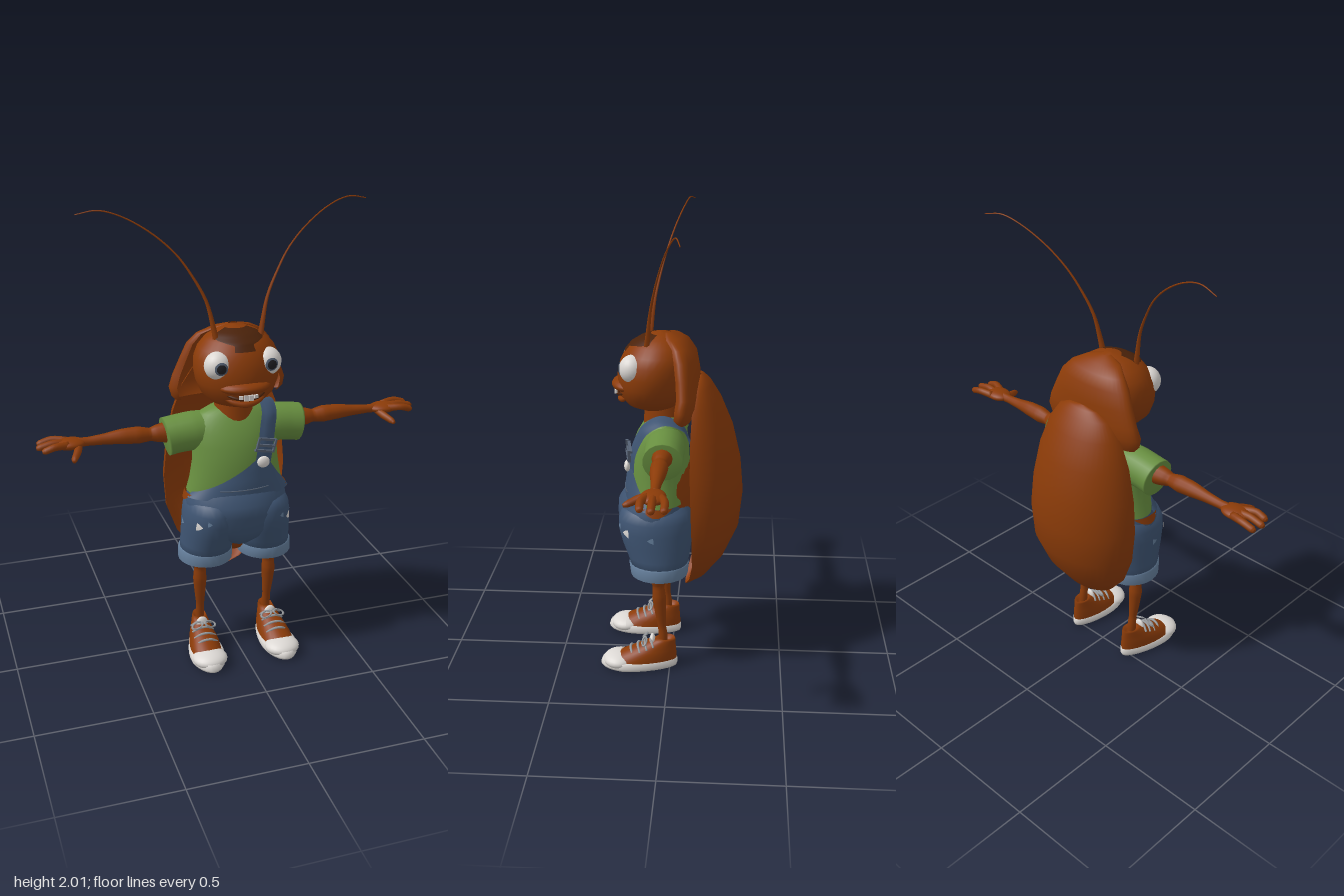
import * as THREE from 'three';

const mat = (name, color, side = THREE.DoubleSide) => {
  const m = new THREE.MeshStandardMaterial({ color, side });
  m.name = name;
  return m;
};
const brown = mat('chestnut', 0x8b3b08);
const darkBrown = mat('dark brown', 0x4a220a);
const green = mat('shirt green', 0x688f40);
const denim = mat('denim', 0x3e5472);
const paleDenim = mat('pale denim', 0x657f9c);
const white = mat('off white', 0xdcd8d4);
const grey = mat('lace grey', 0x999c9f);
const slate = mat('slate', 0x566274);
const black = mat('near black', 0x202024);

// Surface from a rule fn(u, v); wrap closes it in u
function grid(nu, nv, fn, wrap = false) {
  const pos = [], idx = [], cols = wrap ? nu : nu + 1;
  for (let j = 0; j <= nv; j++)
    for (let i = 0; i < cols; i++) pos.push(...fn(i / nu, j / nv));
  for (let j = 0; j < nv; j++)
    for (let i = 0; i < nu; i++) {
      const a = j * cols + i, b = j * cols + (i + 1) % cols;
      idx.push(a, b, b + cols, a, b + cols, a + cols);
    }
  const g = new THREE.BufferGeometry();
  g.setAttribute('position', new THREE.Float32BufferAttribute(pos, 3));
  g.setIndex(idx);
  g.computeVertexNormals();
  return g;
}
// Rings are [y, half width, front z, back z, centre x]
const ringPoint = ([y, w, zf, zb, cx = 0], a, off = 0) => [
  cx + (w + off) * Math.sin(a), y, (zf + zb) / 2 + ((zf - zb) / 2 + off) * Math.cos(a)];
const loft = (rings, seg = 28) => grid(seg, rings.length - 1,
  (u, v) => ringPoint(rings[Math.round(v * (rings.length - 1))], u * Math.PI * 2), true);
function onLoft(rings, y, a, off) {
  let i = 0;
  while (i < rings.length - 2 && rings[i + 1][0] < y) i++;
  const t = (y - rings[i][0]) / (rings[i + 1][0] - rings[i][0]);
  return ringPoint(rings[i].map((p, k) => p + (rings[i + 1][k] - p) * t), a, off);
}
// Curved sheet open to the front, rows are [y, half width, centre z, back z], span is its arc
const sheet = (rows, span) => grid(24, rows.length - 1, (u, v) => {
  const [y, w, zc, zb] = rows[Math.round(v * (rows.length - 1))], a = (0.5 - u) * span;
  return [w * Math.sin(a), y, zc - (zc - zb) * Math.cos(a)];
});
// Capped tube through points [x, y, z, radius]
function limb(pts, seg = 10, steps = 20, ref = [0, 0, 1]) {
  const curve = new THREE.CatmullRomCurve3(pts.map(p => new THREE.Vector3(p[0], p[1], p[2])));
  const up = new THREE.Vector3(...ref);
  return grid(seg, steps + 2, (u, v) => {
    const k = Math.round(v * (steps + 2)), t = Math.min(Math.max((k - 1) / steps, 0), 1);
    const s = t * (pts.length - 1), i = Math.min(Math.floor(s), pts.length - 2);
    const r = k === 0 || k === steps + 2 ? 0 : pts[i][3] + (pts[i + 1][3] - pts[i][3]) * (s - i);
    const T = curve.getTangent(t), N = up.clone().cross(T).normalize(), B = T.clone().cross(N);
    return curve.getPoint(t).addScaledVector(N, r * Math.cos(u * 2 * Math.PI))
      .addScaledVector(B, r * Math.sin(u * 2 * Math.PI)).toArray();
  }, true);
}
const ball = (x, y, z, rx, ry, rz) => new THREE.SphereGeometry(1, 24, 16).scale(rx, ry, rz).translate(x, y, z);
function mirror(geo) {
  const g = geo.clone().scale(-1, 1, 1), ix = g.index.array;
  for (let i = 0; i < ix.length; i += 3) [ix[i], ix[i + 1]] = [ix[i + 1], ix[i]];
  g.computeVertexNormals();
  return g;
}

export function createModel() {
  const model = new THREE.Group();
  model.name = 'beetleInOveralls';
  const add = (name, geo, m) => {
    const mesh = new THREE.Mesh(geo, m);
    mesh.name = name;
    model.add(mesh);
  };
  const pair = (name, geo, m) => {
    add(name + 'Left', geo, m);
    add(name + 'Right', mirror(geo), m);
  };

  // Head with dark brow marking
  const head = [[1.165, 0, .07, .07], [1.175, .06, .13, .01], [1.2, .115, .19, -.03], [1.24, .155, .222, -.06],
    [1.29, .176, .232, -.08], [1.34, .184, .232, -.09], [1.39, .18, .22, -.09], [1.43, .163, .2, -.08],
    [1.465, .132, .172, -.06], [1.492, .09, .13, -.025], [1.507, .045, .085, .005], [1.512, 0, .045, .045]];
  add('head', loft(head, 32), brown);
  add('browMarking', grid(16, 12, (u, v) => {
    const w = .28 + .95 * THREE.MathUtils.smoothstep(v, .3, .65);
    return onLoft(head, 1.435 + v * .072, (u - .5) * 2 * w, .004);
  }), darkBrown);

  // Muzzle, smile and teeth
  add('upperLip', ball(0, 1.286, .178, .112, .034, .08), brown);
  add('smile', limb([[-.092, 1.262, .19, .004], [-.05, 1.248, .222, .007], [0, 1.242, .232, .008],
    [.05, 1.248, .222, .007], [.092, 1.262, .19, .004]], 8, 20, [0, 1, 0]), darkBrown);
  add('lowerLip', limb([[-.1, 1.252, .175, .006], [-.055, 1.226, .206, .012], [0, 1.217, .22, .014],
    [.055, 1.226, .206, .012], [.1, 1.252, .175, .006]], 10, 20, [0, 1, 0]), brown);
  pair('frontTooth', new THREE.BoxGeometry(.02, .024, .008).translate(.0108, 1.252, .241), white);
  pair('sideTooth', new THREE.BoxGeometry(.018, .014, .008).rotateY(.3).translate(.032, 1.255, .237), white);

  // Eyes
  pair('eye', ball(.108, 1.377, .16, .058, .06, .055), white);
  const eyeDisc = (r, angle) => new THREE.SphereGeometry(r, 18, 5, 0, Math.PI * 2, 0, angle)
    .rotateX(Math.PI / 2).rotateY(.08).translate(.104, 1.377, .16);
  pair('iris', eyeDisc(.0585, .5), slate);
  pair('pupil', eyeDisc(.0605, .34), black);
  pair('antenna', limb([[.095, 1.46, .1, .014], [.106, 1.52, .094, .011], [.132, 1.63, .08, .007], [.185, 1.735, .057, .005],
    [.243, 1.82, .033, .004], [.335, 1.905, .003, .0035], [.45, 1.973, -.03, .003], [.54, 1.997, -.05, .003],
    [.625, 1.982, -.068, .002]], 6, 36), brown);

  // Hood and wing case
  add('hood', sheet([[1.17, .235, -.055, -.1], [1.19, .252, -.05, -.115], [1.23, .262, -.055, -.125], [1.28, .245, -.06, -.125],
    [1.35, .215, -.055, -.12], [1.42, .185, -.045, -.108], [1.465, .145, -.03, -.08], [1.495, .09, 0, -.045],
    [1.513, .02, .02, .005]], Math.PI * 1.3), brown);
  add('wingCase', sheet([[.34, .005, -.06, -.062], [.36, .06, -.065, -.09], [.42, .14, -.085, -.165], [.52, .225, -.1, -.24],
    [.65, .272, -.1, -.298], [.8, .282, -.095, -.313], [.95, .268, -.09, -.3], [1.1, .238, -.09, -.265],
    [1.22, .193, -.095, -.215], [1.29, .14, -.105, -.172], [1.32, .08, -.115, -.145], [1.33, .01, -.122, -.125]], Math.PI), brown);
  add('abdomen', ball(0, .77, .03, .19, .31, .13), brown);
  add('neck', new THREE.CylinderGeometry(.08, .09, .14, 20).translate(0, 1.15, .035), brown);

  // Shirt
  const shirt = [[.785, .218, .185, -.085], [.84, .203, .19, -.085], [.92, .19, .188, -.08], [1, .186, .175, -.075],
    [1.06, .182, .152, -.068], [1.1, .172, .128, -.06], [1.13, .15, .108, -.05], [1.15, .11, .09, -.035], [1.157, .08, .08, -.03]];
  add('shirt', loft(shirt, 32), green);
  pair('sleeve', limb([[.1, 1.05, .02, .08], [.18, 1.048, .02, .085], [.25, 1.042, .02, .083], [.302, 1.034, .02, .084]], 18), green);

  // Arms and hands
  pair('arm', limb([[.24, 1.055, .02, .05], [.31, 1.055, .022, .043], [.345, 1.055, .024, .036], [.37, 1.055, .025, .028],
    [.42, 1.058, .025, .037], [.49, 1.06, .025, .033], [.56, 1.058, .025, .024], [.63, 1.056, .025, .019], [.68, 1.056, .025, .02]], 12, 32), brown);
  pair('palm', ball(.71, 1.056, .026, .066, .023, .05), brown);
  [[.842, -.022], [.85, .026], [.832, .07]].forEach(([x, z], i) =>
    pair('finger' + (i + 1), limb([[.72, 1.058, .02 + (z - .02) * .6, .018], [.78, 1.064, z, .016],
      [x - .012, 1.052, z, .015], [x, 1.05, z, .008]], 8, 12, [0, 1, 0]), brown));
  pair('thumb', limb([[.675, 1.05, .04, .016], [.69, 1.038, .085, .017], [.71, 1.025, .125, .014], [.715, 1.02, .142, .007]], 8, 12, [0, 1, 0]), brown);

  // Shorts
  const seat = [[.525, .02, .1, .02], [.545, .07, .165, -.05], [.58, .15, .2, -.085], [.62, .2, .22, -.098],
    [.7, .232, .238, -.1], [.75, .222, .236, -.096], [.8, .206, .205, -.088]];
  const leg = [[.475, .06, .1, 0, .138], [.477, .113, .165, -.072, .138], [.54, .117, .185, -.085, .13],
    [.6, .121, .208, -.093, .123], [.66, .124, .225, -.097, .117], [.71, .122, .226, -.095, .113], [.75, .11, .21, -.085, .108], [.785, .07, .15, -.05, .1]];
  add('shortsSeat', loft(seat, 36), denim);
  pair('shortsLeg', loft(leg, 28), denim);
  pair('cuff', loft([[.48, .1, .15, -.06, .138], [.452, .112, .165, -.07, .138], [.455, .12, .173, -.078, .138],
    [.505, .12, .18, -.083, .136], [.512, .108, .165, -.07, .136]], 24), paleDenim);
  // Bare sliver between shirt and shorts
  pair('bareHip', grid(12, 3, (u, v) => onLoft(seat, .788 - v * .036 * Math.sin(u * Math.PI), 2.05 - u * .8, .017)), brown);
  // Bib with a slanted top edge
  const bibTop = (x) => x < .06 ? .79 + (x + .185) / .245 * .16 : x < .105 ? .95 : .95 - (x - .105) / .08 * .15;
  add('bib', grid(32, 8, (u, v) => {
    const a = (u * 2 - 1) * 1.25, y = .775 + v * (bibTop(.187 * Math.sin(a)) - .775);
    return onLoft(shirt, y, a, .004 + .018 * (1 - v));
  }), denim);
  add('pocketSeam', limb([-.5, -.25, 0, .25, .5].map(a => [...onLoft(shirt, .82, a, .018), .0025]), 5, 16, [0, 1, 0]), slate);
  // Worn patches
  const patch = (y, a, r) => grid(9, 1, (u, v) => {
    const t = u * 2 * Math.PI, k = v * r * (.75 + .25 * Math.cos(3 * t));
    return onLoft(leg, y + k * Math.sin(t), a - k * 7 * Math.cos(t), .005);
  });
  pair('wornPatch', patch(.665, .75, .022), white);
  pair('fadedPatch', patch(.685, .4, .014), paleDenim);
  pair('fadedSidePatch', patch(.65, 1.5, .016), paleDenim);

  // Shoulder strap, button and buckle
  const strap = new THREE.CatmullRomCurve3([[.09, .92, .18], [.105, 1, .172], [.122, 1.07, .146], [.14, 1.125, .112], [.145, 1.163, .04],
    [.14, 1.13, -.045], [.12, 1.05, -.082], [.08, .92, -.092], [.04, .79, -.1]].map(p => new THREE.Vector3(...p)));
  add('strap', grid(4, 40, (u, v) => {
    const p = strap.getPoint(v), s = (u - .5) * .076;
    return [p.x + s, p.y - s * .25, p.z - Math.max(0, s) * .6];
  }), denim);
  add('button', ball(.085, .935, .188, .028, .026, .014), white);
  [.985, 1.005, 1.03].forEach((y, i) => add('buckleBar' + (i + 1),
    new THREE.BoxGeometry(.085, .01, .012).rotateZ(-.25).rotateY(.2).translate(.085 + i * .012, y, .186 - i * .006), slate));
  [-.04, .04].forEach((d, i) => add('buckleSide' + (i + 1),
    new THREE.BoxGeometry(.008, .06, .012).rotateZ(-.25).translate(.1 + d, 1.008 - d * .25, .182 - d * .2), slate));

  // Legs
  pair('leg', limb([[.15, .56, .05, .07], [.152, .48, .05, .06], [.158, .43, .05, .042], [.162, .395, .05, .026], [.163, .34, .047, .031],
    [.162, .27, .042, .025], [.16, .2, .036, .018], [.16, .15, .03, .02], [.16, .1, .03, .02]], 12, 32), brown);

  // Shoes, narrowed at the heel
  const shoe = (rings) => {
    const g = loft(rings, 28), p = g.attributes.position;
    for (let i = 0; i < p.count; i++) {
      const t = THREE.MathUtils.clamp((p.getZ(i) + .03) / .24, 0, 1);
      p.setX(i, .158 + t * .014 + p.getX(i) * (.68 + .32 * t));
    }
    g.computeVertexNormals();
    return g;
  };
  pair('sole', shoe([[0, 0, .14, .14], [0, .079, .305, -.03], [.012, .084, .312, -.034], [.036, .082, .304, -.034], [.038, .07, .285, -.02]]), white);
  pair('shoeUpper', shoe([[.03, .077, .28, -.03], [.06, .074, .235, -.03], [.085, .064, .18, -.028], [.11, .054, .125, -.026],
    [.13, .045, .075, -.026], [.14, .04, .055, -.022], [.122, .025, .04, -.005], [.122, 0, .02, .02]]), brown);
  pair('toeCap', ball(.171, .03, .227, .078, .036, .073), white);
  pair('tongue', ball(.164, .12, .078, .028, .035, .014), white);
  [[.175, .09], [.143, .104], [.112, .118], [.083, .134]].forEach(([z, y], i) =>
    pair('lace' + (i + 1), limb([[.118, y - .022, z - .012, .005], [.15, y, z, .006], [.185, y, z, .006], [.215, y - .022, z - .012, .005]], 6, 10), grey));
  [-1, 1].forEach((s, i) => pair('laceLoop' + (i + 1), new THREE.TorusGeometry(.02, .0045, 6, 16)
    .scale(1.25, .7, 1).rotateX(-.9).rotateZ(-s * .35).translate(.165 + s * .03, .132, .112), grey));

  return model;
}
